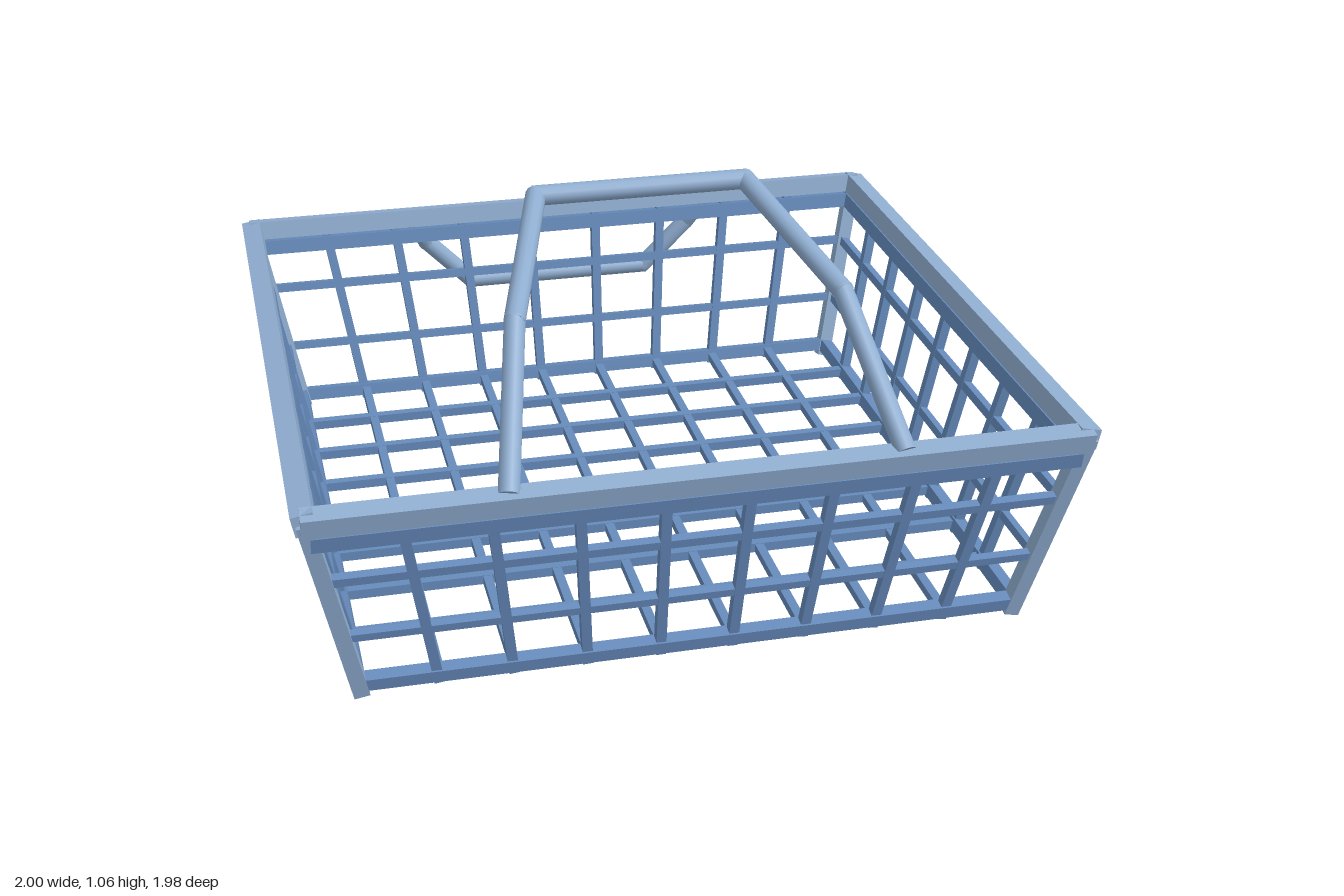
import * as THREE from 'three';

const paleSteel = new THREE.MeshStandardMaterial({ color: 0x8fadd0 });
paleSteel.name = 'pale steel blue';
const wireBlue = new THREE.MeshStandardMaterial({ color: 0x668bbb });
wireBlue.name = 'wire blue';

const V = (x, y, z) => new THREE.Vector3(x, y, z);
const ZC = 0.033; // basket centre in z

// Half width and half depth of the flared walls at height y
const flare = (y) => 0.85 + (0.117 * y) / 0.56;
const halfX = (y) => flare(y);
const halfZ = (y) => flare(y) - 0.046;

// Square bar from a to b, one face turned towards the normal
function bar(name, a, b, width, normal, material) {
  const dir = b.clone().sub(a);
  const length = dir.length();
  dir.normalize();
  const side = dir.clone().cross(normal).normalize();
  const out = side.clone().cross(dir);
  const mesh = new THREE.Mesh(new THREE.BoxGeometry(width, length, width), material);
  mesh.quaternion.setFromRotationMatrix(new THREE.Matrix4().makeBasis(side, dir, out));
  mesh.position.copy(a).add(b).multiplyScalar(0.5);
  mesh.name = name;
  return mesh;
}

// One wall: upright wires, horizontal rails and the rim beam.
// place(along, y) gives a point on the wall.
function wall(name, place, halfLength, normal, count, step, rimHalf) {
  const group = new THREE.Group();
  group.name = name;
  for (let i = 0; i < count; i++) {
    const s = (i - (count - 1) / 2) * step;
    const top = (s * halfLength(0.54)) / halfLength(0);
    group.add(bar('uprightWire', place(s, 0.015), place(top, 0.54), 0.026, normal, wireBlue));
  }
  for (const [y, w] of [[0.04, 0.036], [0.195, 0.022], [0.378, 0.024], [0.507, 0.042]]) {
    const h = halfLength(y);
    group.add(bar('rail', place(-h, y), place(h, y), w, normal, wireBlue));
  }
  group.add(bar('rimBeam', place(-rimHalf, 0.562), place(rimHalf, 0.562), 0.054, normal, paleSteel));
  return group;
}

// Bent handle of round bars, mirrored left and right
function handle(name, points, radius) {
  const group = new THREE.Group();
  group.name = name;
  const path = [...points, ...points.map((p) => V(-p.x, p.y, p.z)).reverse()];
  for (let i = 0; i < path.length - 1; i++) {
    const dir = path[i + 1].clone().sub(path[i]);
    const geometry = new THREE.CylinderGeometry(radius, radius, dir.length() + 0.015, 12);
    const mesh = new THREE.Mesh(geometry, paleSteel);
    mesh.position.copy(path[i]).add(path[i + 1]).multiplyScalar(0.5);
    mesh.quaternion.setFromUnitVectors(V(0, 1, 0), dir.normalize());
    mesh.name = 'handleBar';
    group.add(mesh);
  }
  return group;
}

export function createModel() {
  const basket = new THREE.Group();
  basket.name = 'wireBasket';

  // Walls and corner posts
  for (const s of [1, -1]) {
    basket.add(wall(s > 0 ? 'frontWall' : 'backWall',
      (t, y) => V(t, y, ZC + s * halfZ(y)), halfX, V(0, -0.209, s), 8, 0.188, 0.977));
    basket.add(wall(s > 0 ? 'leftWall' : 'rightWall',
      (t, y) => V(s * halfX(y), y, ZC + t), halfZ, V(s, -0.209, 0), 7, 0.199, 0.93));
    for (const f of [1, -1]) {
      const at = (y) => V(s * halfX(y), y, ZC + f * halfZ(y));
      basket.add(bar('cornerPost', at(0.005), at(0.565), 0.04, V(0, -0.209, f), paleSteel));
    }
  }

  // Floor grid
  const floor = new THREE.Group();
  floor.name = 'floorGrid';
  const up = V(0, 1, 0), y = 0.04, hx = halfX(y), hz = halfZ(y);
  for (let i = 0; i < 8; i++) {
    const x = (i - 3.5) * 0.188;
    floor.add(bar('floorWire', V(x, y, ZC - hz), V(x, y, ZC + hz), 0.024, up, wireBlue));
  }
  for (let i = 0; i < 7; i++) {
    const z = ZC + (i - 3) * 0.199;
    floor.add(bar('floorWire', V(-hx, y, z), V(hx, y, z), 0.026, up, wireBlue));
  }
  basket.add(floor);

  // Front handle swung up and inwards, back handle hanging outside
  basket.add(handle('frontHandle', [V(0.488, 0.585, 0.95), V(0.415, 0.885, 0.65), V(0.28, 1.032, 0.215)], 0.027));
  basket.add(handle('backHandle', [V(0.485, 0.56, -0.905), V(0.425, 0.45, -0.952), V(0.285, 0.302, -0.968)], 0.027));
  return basket;
}
